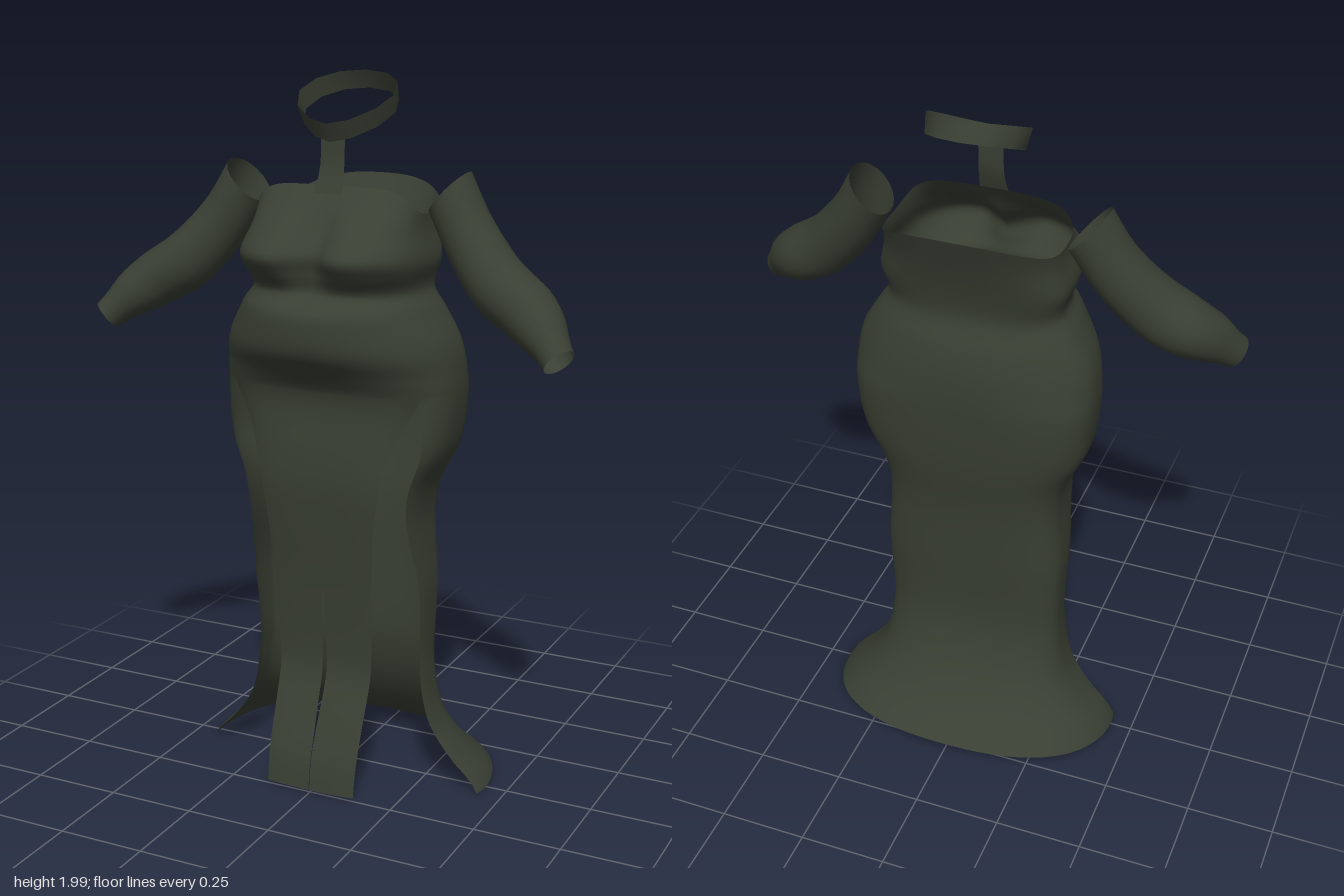
import * as THREE from 'three';
import { mergeGeometries, mergeVertices } from 'three/addons/utils/BufferGeometryUtils.js';

// Smooth curve through [position, value] pairs in ascending order
function profile(pts) {
  const slope = (i) => {
    const a = pts[Math.max(i - 1, 0)], b = pts[Math.min(i + 1, pts.length - 1)];
    return (b[1] - a[1]) / (b[0] - a[0]);
  };
  return (y) => {
    let i = 0;
    while (i < pts.length - 2 && y > pts[i + 1][0]) i++;
    const [y0, a] = pts[i], [y1, b] = pts[i + 1], h = y1 - y0;
    const t = THREE.MathUtils.clamp((y - y0) / h, 0, 1), t2 = t * t, t3 = t2 * t;
    return a * (2 * t3 - 3 * t2 + 1) + b * (3 * t2 - 2 * t3)
      + h * slope(i) * (t3 - 2 * t2 + t) + h * slope(i + 1) * (t3 - t2);
  };
}

// Open sheet from fn(u, v) -> [x, y, z]
function sheet(fn, nu, nv) {
  const pos = [], index = [];
  for (let j = 0; j <= nv; j++) for (let i = 0; i <= nu; i++) pos.push(...fn(i / nu, j / nv));
  for (let j = 0; j < nv; j++) for (let i = 0; i < nu; i++) {
    const a = j * (nu + 1) + i, b = a + 1, d = a + nu + 1, c = d + 1;
    index.push(a, d, b, b, d, c);
  }
  const g = new THREE.BufferGeometry();
  g.setAttribute('position', new THREE.Float32BufferAttribute(pos, 3));
  g.setIndex(index);
  return g;
}

// Weld neighbouring sheets so shading runs on smoothly
function weld(...sheets) {
  const g = mergeVertices(mergeGeometries(sheets), 1e-4);
  g.computeVertexNormals();
  return g;
}

const lerp = THREE.MathUtils.lerp;
const rad = THREE.MathUtils.degToRad;
const SLIT = 1.16, A0 = rad(40);

// Cross-section: superellipse, squarer at the thighs and bust, rounder at belly and hem
const squareness = profile([[0, 0.9], [0.2, 0.82], [0.5, 0.7], [1, 0.7], [1.16, 0.72], [1.24, 0.88],
  [1.32, 0.96], [1.4, 0.9], [1.48, 0.74], [1.56, 0.7], [1.71, 0.74]]);
const power = (n, y) => Math.sign(n) * Math.abs(n) ** squareness(y);
const cx = (a, y) => power(Math.cos(a), y);
const cz = (a, y) => power(Math.sin(a), y);

// Gown outlines by height
const width = profile([[0, 0.44], [0.04, 0.415], [0.1, 0.355], [0.2, 0.29], [0.35, 0.263], [0.5, 0.265],
  [0.6, 0.268], [0.8, 0.255], [0.9, 0.272], [1, 0.322], [1.1, 0.34], [1.2, 0.345], [1.3, 0.33],
  [1.39, 0.28], [1.44, 0.247], [1.52, 0.262], [1.6, 0.245], [1.65, 0.245], [1.71, 0.26]]);
const back = profile([[0, -0.33], [0.04, -0.295], [0.1, -0.22], [0.2, -0.15], [0.3, -0.11], [0.4, -0.095],
  [0.6, -0.105], [0.8, -0.12], [0.95, -0.145], [1.1, -0.16], [1.25, -0.165], [1.35, -0.15],
  [1.43, -0.12], [1.5, -0.127], [1.6, -0.16], [1.71, -0.207]]);
const front = profile([[0, 0.262], [0.1, 0.245], [0.2, 0.21], [0.33, 0.16], [0.4, 0.155], [0.6, 0.17],
  [0.8, 0.195], [0.9, 0.205], [1, 0.2], [1.1, 0.188], [1.16, 0.194], [1.21, 0.227], [1.28, 0.285],
  [1.35, 0.297], [1.4, 0.286], [1.435, 0.24], [1.49, 0.275], [1.54, 0.3], [1.6, 0.235], [1.66, 0.158], [1.71, 0.105]]);
const cleavage = profile([[1.4, 0], [1.45, 0.025], [1.53, 0.075], [1.6, 0.06], [1.66, 0.015], [1.7, 0]]);
const skirtEdge = profile([[0, 0.05], [0.3, 0.068], [0.4, 0.065], [0.6, 0.085], [0.7, 0.11], [0.8, 0.138],
  [0.9, 0.15], [1.16, front(SLIT) * cz(A0, SLIT)]]);
const skirtStart = profile([[0, 12], [0.4, 16], [0.8, 22], [1, 33], [1.1, 38], [1.16, 40]]);
const panelEdge = profile([[0, 0.135], [0.28, 0.14], [0.6, 0.15], [0.81, 0.165], [1, 0.203], [1.1, 0.25],
  [1.16, width(SLIT) * cx(A0, SLIT)]]);
const panelBend = profile([[0, 0.1], [0.7, 0.18], [0.95, 0.4], [1.16, 1]]);
const vent = profile([[0, 0.001], [0.15, 0.001], [0.3, 0.006], [0.5, 0.005], [0.62, 0], [0.7, 0], [1.16, 0]]);

// Bodice and hips: full rings up to the dipping neckline
function bodice(u, v) {
  const a = lerp(A0, A0 + Math.PI * 2, u), c = Math.cos(a) ** 2;
  const y = lerp(SLIT, 1.71 - 0.07 * (Math.sin(a) > 0 ? c * c : c), v);
  const x = width(y) * cx(a, y), s = cz(a, y);
  if (s < 0) return [x, y, -back(y) * s];
  return [x, y, front(y) * s - cleavage(y) * Math.exp(-((x / 0.055) ** 2))];
}

// Back skirt: wraps round the back from slit to slit, flaring at the hem
function skirt(u, v) {
  const start = rad(skirtStart(v * SLIT));
  const a = lerp(Math.PI - start, Math.PI * 2 + start, u);
  const y = lerp(0.005 + 0.035 * Math.max(0, -Math.sin(a)), SLIT, v), s = cz(a, y);
  return [width(y) * cx(a, y), y, s < 0 ? -back(y) * s : skirtEdge(y) * s / cz(start, y)];
}

// Front panel, one half on each side of the centre vent
const panel = (side) => (u, v) => {
  const a = side > 0 ? lerp(A0, Math.PI / 2, u) : lerp(Math.PI / 2, Math.PI - A0, u);
  const y = lerp(0.015, SLIT, v), g = vent(y);
  const x = side * g + (panelEdge(y) - g) * cx(a, y) / cx(A0, y);
  return [x, y, front(y) * (1 - panelBend(y) * (1 - cz(a, y)))];
};

// Sleeve: rings along the bent arm
const armPath = new THREE.CatmullRomCurve3([
  [0.303, 1.698, 0.01], [0.37, 1.585, 0.03], [0.465, 1.475, 0.065], [0.56, 1.41, 0.09],
  [0.62, 1.365, 0.13], [0.675, 1.312, 0.175],
].map((p) => new THREE.Vector3(...p)));
const armRadius = profile([[0, 0.077], [0.2, 0.077], [0.42, 0.081], [0.62, 0.083], [0.8, 0.07], [0.93, 0.05], [1, 0.044]]);
function sleeve(u, v) {
  const p = armPath.getPointAt(v), r = armRadius(v), a = u * Math.PI * 2;
  const n = r * Math.cos(a), b = r * 1.06 * Math.sin(a), tilt = 0.25 * v;
  return [p.x + 0.67 * n + tilt * b, p.y + 0.74 * n - tilt * b, p.z - b];
}

// Choker: tilted band, higher at the nape and pointed at the throat
function choker(u, v) {
  const a = u * Math.PI * 2, c = Math.cos(a), s = Math.sin(a), k = v - 0.5;
  const taper = 1 - 0.25 * Math.max(0, s) ** 2;
  return [(0.137 + 0.008 * k) * c * taper, 1.912 - 0.062 * s + 0.01 * c * c + 0.05 * k, 0.003 + 0.122 * s + 0.025 * k];
}

// Strap from choker to neckline
const strapDepth = profile([[1.69, 0.125], [1.76, 0.1], [1.84, 0.095]]);
function strap(u, v) {
  const y = lerp(1.69, 1.84, v), half = 0.035 + 0.008 * (1 - v) ** 4;
  return [lerp(half, -half, u), y, strapDepth(y)];
}

export function createModel() {
  const cloth = new THREE.MeshStandardMaterial({ color: 0x393f33, side: THREE.DoubleSide });
  cloth.name = 'dark olive cloth';
  const model = new THREE.Group();
  model.name = 'gown';
  const add = (name, geometry) => {
    const mesh = new THREE.Mesh(geometry, cloth);
    mesh.name = name;
    model.add(mesh);
    return mesh;
  };

  add('dress', weld(sheet(bodice, 72, 44), sheet(skirt, 52, 44),
    sheet(panel(1), 10, 44), sheet(panel(-1), 10, 44)));
  const sleeveShape = weld(sheet(sleeve, 20, 24));
  add('leftSleeve', sleeveShape);
  add('rightSleeve', sleeveShape).scale.x = -1;
  add('choker', weld(sheet(choker, 12, 1)));
  add('neckStrap', weld(sheet(strap, 2, 6)));
  return model;
}
